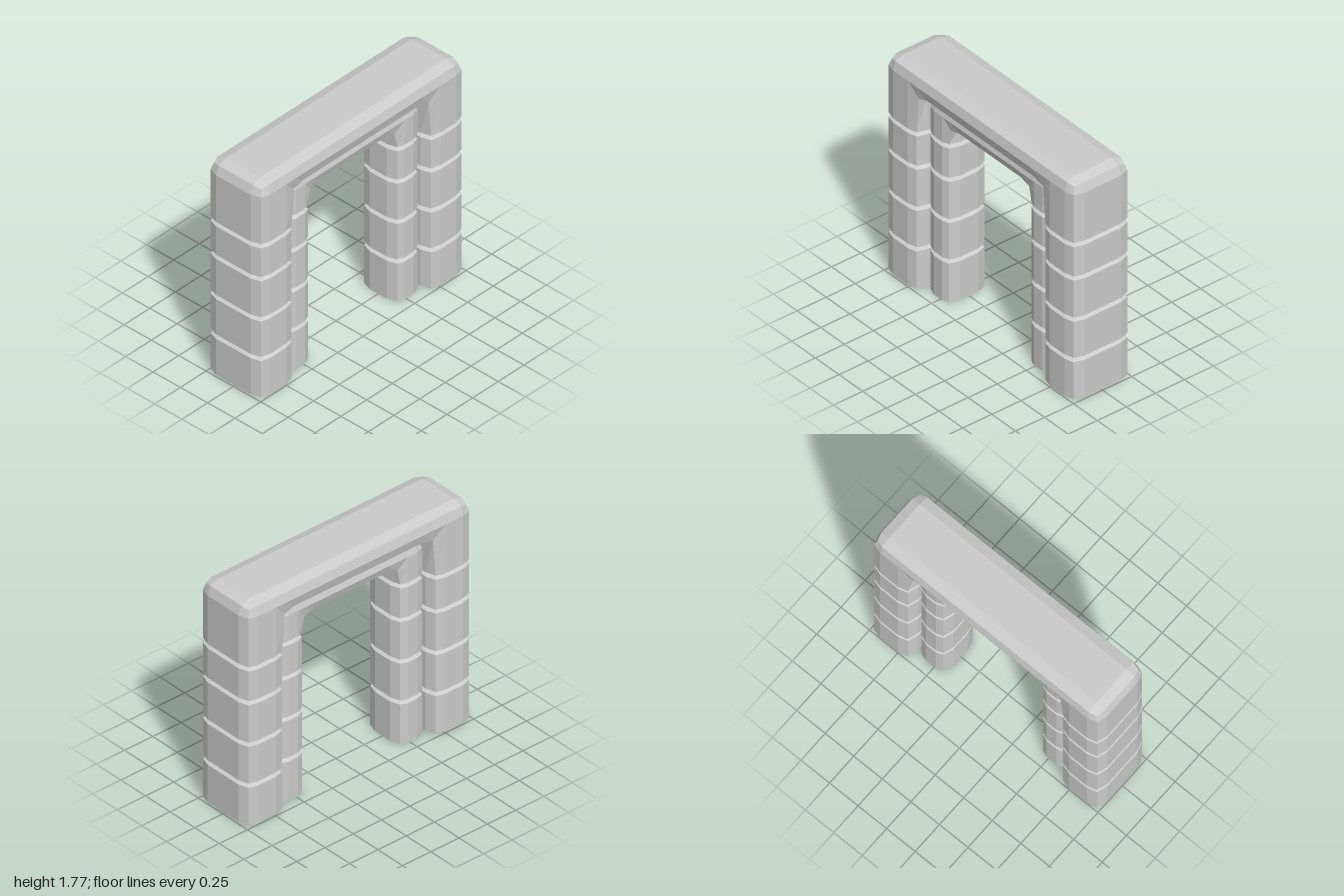
import * as THREE from 'three';

// Joins rings of [x, y, z] points into a flat-shaded open tube
function loft(rings) {
  const pos = [];
  for (let s = 0; s < rings.length - 1; s++) {
    const p = rings[s], q = rings[s + 1], n = p.length;
    for (let i = 0; i < n; i++) {
      const j = (i + 1) % n;
      pos.push(...p[i], ...q[i], ...p[j], ...p[j], ...q[i], ...q[j]);
    }
  }
  const geo = new THREE.BufferGeometry();
  geo.setAttribute('position', new THREE.Float32BufferAttribute(pos, 3));
  geo.computeVertexNormals();
  return geo;
}

// One arch: two grooved legs and a bevelled beam, swept as a single band.
// x0/x1 inner and outer leg sides, xi/xo flat part of the leg front,
// y0 underside, yF front ridge, y1 top, zh half depth, base bottom height
function archGeometry({ x0, x1, xi, xo, y0, yF, y1, zh, base }) {
  const b = 0.025;
  const depths = [zh - 0.095, zh - 0.02, zh, zh, zh - 0.02, zh - 0.095];
  // Six outline points from outside to inside, mirrored to the back
  const ring = (pts, z = depths) => {
    const front = pts.map(([x, y], i) => [x, y, z[i]]);
    return [...front, ...front.map(([x, y, d]) => [x, y, -d]).reverse()];
  };
  const cx = (x0 + x1) / 2, hw = (x1 - x0) / 2;
  const leg = (y, inset = 0) => ring(
    [x1, x1 - b, xo, xi, x0 + b, x0].map(x => [cx + (x - cx) * (1 - inset / hw), y]),
    depths.map(z => z * (1 - inset / zh)));

  // Leg with a groove between the blocks
  const half = [leg(base)];
  for (const y of [0.335, 0.665, 1.0, 1.273])
    half.push(leg(y - 0.018), leg(y - 0.004, 0.023), leg(y + 0.004, 0.023), leg(y + 0.018));

  // Shoulder, bevelled corner and beam
  const inner = [[xi, yF], [x0, y0], [x0, y0]];
  half.push(
    ring([[x1, y0], [x1 - b, y0], [xo, y0], [xi, y0], [x0, y0], [x0, y0]]),
    ring([[x1, yF], [x1 - b, yF], [xo, yF], ...inner]),
    ring([[x1 - b, y1 - b], [x1 - 0.04, y1 - 0.04], [xo, yF], ...inner],
      [depths[0], zh - 0.035, ...depths.slice(2)]),
    ring([[xo, y1], [xo, y1 - b], [xo, yF], ...inner]),
    ring([[x0, y1], [x0, y1 - b], [x0, yF], [x0, yF], [x0, y0], [x0, y0]]));
  const xe = x0 - 0.09;
  half.push(ring([[xe, y1], [xe, y1 - b], [xe, yF], [xe, yF], [xe, y0 + b], [xe, y0]]));

  // Mirror to the other leg
  const other = half.map(r => r.map(([x, y, z]) => [-x, y, z])).reverse();
  return loft([...half, ...other]);
}

export function createModel() {
  const group = new THREE.Group();
  group.name = 'doubleArchway';
  const material = new THREE.MeshStandardMaterial({
    color: 0xcccccc, flatShading: true, side: THREE.DoubleSide,
  });
  const arches = {
    outerArch: { x0: 0.655, x1: 1, xi: 0.75, xo: 0.905, y0: 1.58, yF: 1.68, y1: 1.773, zh: 0.252, base: 0.015 },
    innerArch: { x0: 0.41, x1: 0.655, xi: 0.485, xo: 0.57, y0: 1.41, yF: 1.495, y1: 1.582, zh: 0.172, base: 0 },
  };
  for (const [name, spec] of Object.entries(arches)) {
    const mesh = new THREE.Mesh(archGeometry(spec), material);
    mesh.name = name;
    group.add(mesh);
  }
  return group;
}
